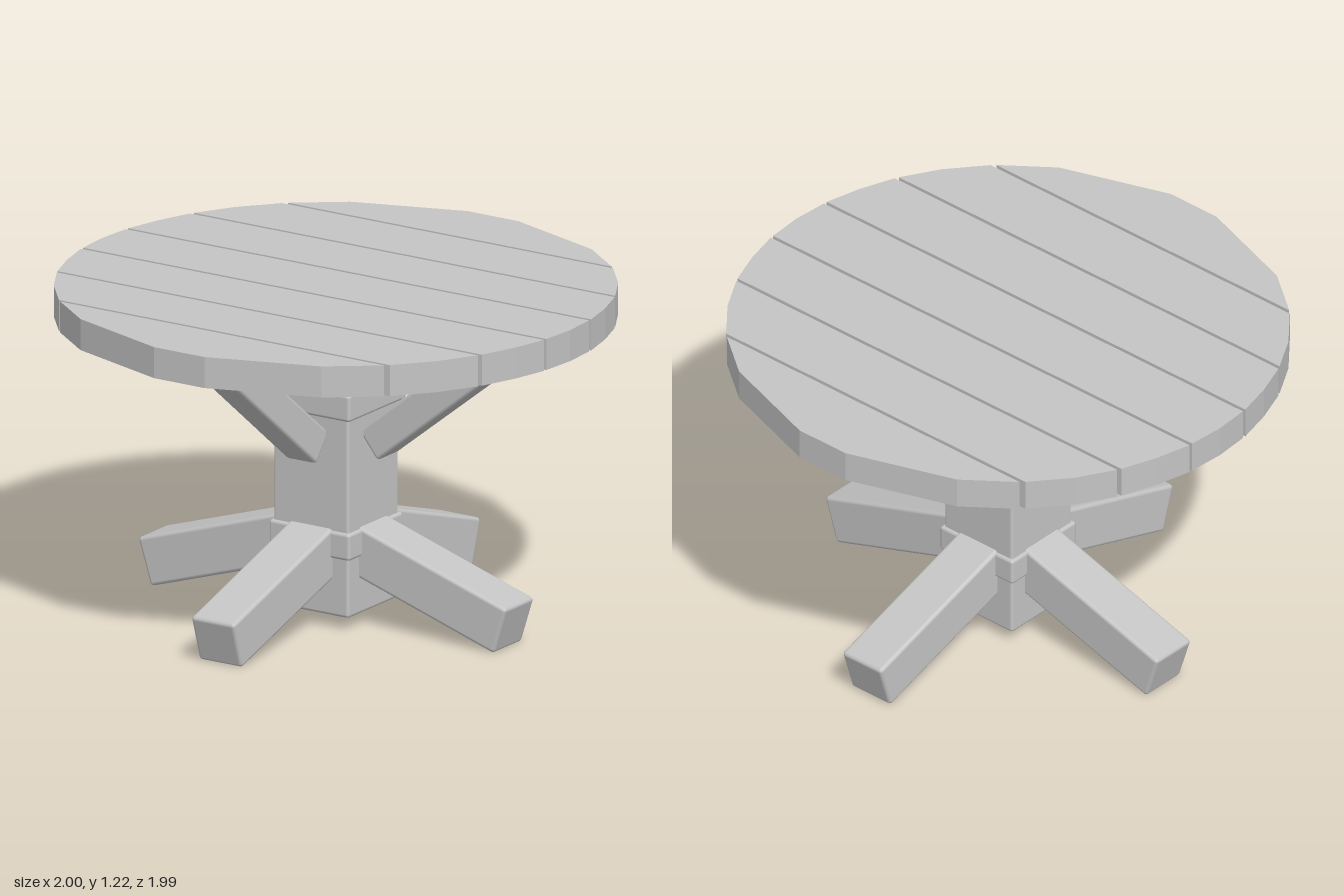
import * as THREE from 'three';
import { RoundedBoxGeometry } from 'three/addons/geometries/RoundedBoxGeometry.js';

export function createModel() {
  const table = new THREE.Group();
  table.name = 'roundPlankTable';
  const wood = new THREE.MeshStandardMaterial({ color: 0xc4c4c4 });
  wood.name = 'plain grey wood';

  const add = (parent, name, geometry) => {
    const mesh = new THREE.Mesh(geometry, wood);
    mesh.name = name;
    parent.add(mesh);
    return mesh;
  };

  // Tabletop: seven planks; each row is one plank's half outline as [half width, z]
  const top = new THREE.Group();
  top.name = 'tabletop';
  table.add(top);
  const sidePlanks = [
    [[0.989, 0.15], [0.956, 0.287], [0.907, 0.421]],
    [[0.9, 0.435], [0.82, 0.573], [0.707, 0.708]],
    [[0.692, 0.722], [0.515, 0.857], [0.108, 0.994]],
  ];
  const centrePlank = [[0.99, -0.136], [1, 0], [0.99, 0.136]];
  const addPlank = (outline, flip) => {
    const right = outline.map(([x, z]) => new THREE.Vector2(x, z * flip));
    const left = right.map((p) => new THREE.Vector2(-p.x, p.y)).reverse();
    const geometry = new THREE.ExtrudeGeometry(new THREE.Shape([...right, ...left]), {
      depth: 0.115, bevelEnabled: false,
    });
    geometry.rotateX(Math.PI / 2);
    add(top, 'plank', geometry).position.y = 1.23;
  };
  addPlank(centrePlank, 1);
  for (const outline of sidePlanks) for (const flip of [1, -1]) addPlank(outline, flip);

  // Square post with two collars
  add(table, 'post', new RoundedBoxGeometry(0.322, 1.06, 0.322, 2, 0.012)).position.y = 0.587;
  for (const [name, y] of [['lowerCollar', 0.323], ['upperCollar', 0.837]]) {
    add(table, name, new RoundedBoxGeometry(0.345, 0.1, 0.345, 2, 0.012)).position.y = y;
  }

  // Four sloping feet and four braces, one pair per side of the post
  for (let i = 0; i < 4; i++) {
    const side = new THREE.Group();
    side.name = 'supportSide';
    side.rotation.y = (i * Math.PI) / 2;
    table.add(side);

    const foot = add(side, 'foot', new RoundedBoxGeometry(0.69, 0.181, 0.185, 2, 0.014));
    foot.position.set(0.431, 0.198, 0);
    foot.rotation.z = -0.308;

    const brace = add(side, 'brace', new RoundedBoxGeometry(0.665, 0.128, 0.13, 2, 0.014));
    brace.position.set(0.437, 0.884, 0);
    brace.rotation.z = 0.672;
  }
  return table;
}
